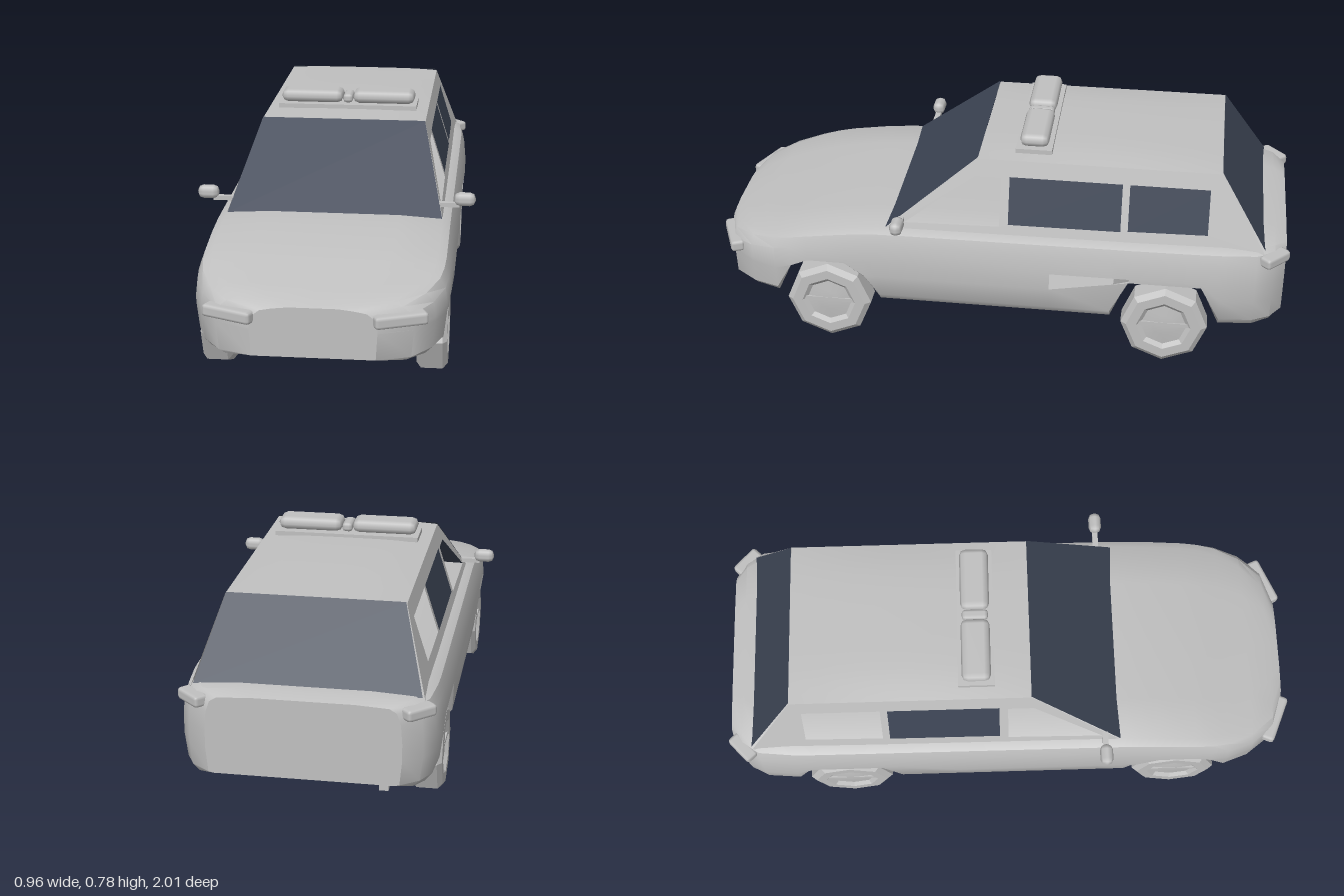
import * as THREE from 'three';
import { toCreasedNormals } from 'three/addons/utils/BufferGeometryUtils.js';
import { RoundedBoxGeometry } from 'three/addons/geometries/RoundedBoxGeometry.js';

const paint = new THREE.MeshStandardMaterial({ color: 0xc0c0c0, side: THREE.DoubleSide });
paint.name = 'grey paint';
const glass = new THREE.MeshStandardMaterial({ color: 0x3c4454, side: THREE.DoubleSide });
glass.name = 'dark glass';

function add(parent, name, geometry, material, x = 0, y = 0, z = 0) {
  const mesh = new THREE.Mesh(geometry, material);
  mesh.name = name;
  mesh.position.set(x, y, z);
  parent.add(mesh);
  return mesh;
}

function faces(points, index) {
  const g = new THREE.BufferGeometry();
  g.setAttribute('position', new THREE.Float32BufferAttribute(points.flat(), 3));
  g.setIndex(index);
  return g;
}

function polygon(points) {
  const index = [];
  for (let i = 1; i < points.length - 1; i++) index.push(0, i, i + 1);
  const g = faces(points, index);
  g.computeVertexNormals();
  return g;
}

// Lower body stations: z, half width, underside, top, width share of the top edge
const STATIONS = [
  [0.98, 0.2, 0.19, 0.355, 0.65], [0.94, 0.31, 0.18, 0.37, 0.75],
  [0.86, 0.372, 0.172, 0.388, 0.82], [0.77, 0.405, 0.17, 0.406, 0.86],
  [0.71, 0.412, 0.3, 0.42, 0.88], [0.65, 0.414, 0.327, 0.432, 0.89],
  [0.52, 0.415, 0.327, 0.452, 0.89], [0.45, 0.415, 0.27, 0.459, 0.89],
  [0.4, 0.415, 0.17, 0.463, 0.89], [0.3, 0.415, 0.17, 0.465, 0.89],
  [-0.2, 0.415, 0.17, 0.468, 0.89], [-0.41, 0.415, 0.17, 0.47, 0.89],
  [-0.475, 0.415, 0.33, 0.47, 0.89], [-0.72, 0.415, 0.33, 0.474, 0.89],
  [-0.785, 0.413, 0.17, 0.475, 0.89], [-0.9, 0.403, 0.172, 0.475, 0.88],
  [-0.96, 0.37, 0.18, 0.472, 0.87], [-1.0, 0.31, 0.195, 0.46, 0.87],
];
const VENT_ROW = 3;

function section([z, w, bottom, top, edge]) {
  const ventY = z <= -0.2 && z >= -0.48 ? 0.28 + (0.05 * (-0.2 - z)) / 0.275 : 0.28;
  const ventF = (ventY - 0.17) / (top - 0.17);
  const rows = [[0, 0.92], [0.1, 0.975], [ventF, 1], [0.58, 1], [0.8, 0.985], [0.93, (edge + 1.02) / 2], [1, edge]];
  const half = [[0, bottom, z]];
  rows.forEach(([f, p], i) => {
    const y = Math.max(0.17 + (top - 0.17) * f, bottom);
    half.push([w * p, i === 6 ? top - 0.006 : y, z]);
  });
  half.push([w * edge * 0.6, top, z], [0, top, z]);
  const mirrored = half.slice(1, -1).reverse().map(([x, y]) => [-x, y, z]);
  return [...half, ...mirrored];
}

function buildBody(car) {
  const rings = STATIONS.map(section);
  const n = rings[0].length;
  const index = [];
  for (let i = 0; i < rings.length - 1; i++) {
    const z = STATIONS[i][0];
    for (let j = 0; j < n; j++) {
      // triangular opening ahead of one rear arch
      if (j === VENT_ROW && z <= -0.2 && z > -0.47) continue;
      const k = (j + 1) % n;
      const a = i * n + j, b = i * n + k, c = (i + 1) * n + k, d = (i + 1) * n + j;
      index.push(a, d, b, b, d, c);
    }
  }
  add(car, 'lowerBody', toCreasedNormals(faces(rings.flat(), index), 0.6), paint);
  add(car, 'frontPanel', polygon(rings[0]), paint);
  add(car, 'rearPanel', polygon([...rings[rings.length - 1]].reverse()), paint);
}

// Side window outlines as z, y
const WINDOWS = [
  { name: 'frontWindow', pts: [[0.31, 0.48], [0.07, 0.65], [-0.02, 0.65], [-0.02, 0.487]], sides: [] },
  { name: 'middleWindow', pts: [[-0.05, 0.495], [-0.05, 0.655], [-0.435, 0.655], [-0.435, 0.497]], sides: [-1, 1] },
  { name: 'rearWindow', pts: [[-0.46, 0.5], [-0.46, 0.655], [-0.73, 0.655], [-0.73, 0.505]], sides: [1] },
];
const sideX = (y) => 0.37 - (y - 0.455) * 0.314;

function buildCabin(car) {
  const outline = [[0.375, 0.455], [0.06, 0.71], [-0.765, 0.71], [-0.925, 0.455]];
  const toVectors = (pts) => pts.map(([a, b]) => new THREE.Vector2(a, b));
  for (const s of [-1, 1]) {
    const shape = new THREE.Shape(toVectors(outline));
    WINDOWS.forEach((w) => shape.holes.push(new THREE.Path(toVectors(w.pts))));
    const g = new THREE.ShapeGeometry(shape);
    const p = g.attributes.position;
    for (let i = 0; i < p.count; i++) p.setXYZ(i, s * sideX(p.getY(i)), p.getY(i), p.getX(i));
    g.computeVertexNormals();
    add(car, 'cabinSide', g, paint);
    for (const w of WINDOWS) {
      if (w.sides.includes(s)) add(car, w.name, polygon(w.pts.map(([z, y]) => [s * sideX(y), y, z])), glass);
    }
  }

  // gently crowned roof
  const roof = new THREE.PlaneGeometry(2, 1, 10, 8);
  const p = roof.attributes.position;
  for (let i = 0; i < p.count; i++) {
    const u = p.getX(i), t = p.getY(i) + 0.5;
    const rise = (0.006 + 0.01 * Math.sin(Math.PI * t)) * (1 - u ** 4);
    p.setXYZ(i, u * 0.29, 0.71 + rise, 0.06 - 0.825 * t);
  }
  roof.computeVertexNormals();
  add(car, 'roof', roof, paint);

  const screen = (w0, y0, z0, w1, y1, z1) => polygon([[-w0, y0, z0], [w0, y0, z0], [w1, y1, z1], [-w1, y1, z1]]);
  add(car, 'windshield', screen(0.368, 0.457, 0.377, 0.289, 0.715, 0.061), glass);
  add(car, 'rearScreen', screen(-0.362, 0.465, -0.926, -0.287, 0.715, -0.766), glass);
}

function buildWheels(car) {
  const profile = [[0, -0.045], [0.085, -0.04], [0.095, -0.05], [0.13, -0.05], [0.15, -0.035], [0.15, 0.035],
    [0.13, 0.05], [0.095, 0.05], [0.08, 0.038], [0.04, 0.042], [0, 0.045]];
  const lathe = new THREE.LatheGeometry(profile.map(([r, y]) => new THREE.Vector2(r, y)), 8);
  const wheel = toCreasedNormals(lathe.rotateZ(-Math.PI / 2), 0.3);
  for (const s of [-1, 1]) {
    for (const z of [0.585, -0.6]) {
      const mesh = add(car, 'wheel', wheel, paint, s * 0.355, 0.152, z);
      if (s < 0) mesh.rotation.y = Math.PI;
      add(car, 'wheelMount', new THREE.BoxGeometry(0.14, 0.014, 0.26), paint, s * 0.33, 0.158, z);
    }
  }
}

function buildDetails(car) {
  const block = (w, h, d, r) => new RoundedBoxGeometry(w, h, d, 1, r);
  for (const s of [-1, 1]) {
    add(car, 'headlight', block(0.175, 0.042, 0.05, 0.012), paint, s * 0.268, 0.318, 0.95).rotation.y = s * 0.4;
    add(car, 'tailLight', block(0.11, 0.04, 0.05, 0.012), paint, s * 0.355, 0.435, -0.96).rotation.y = -s * 0.75;
    add(car, 'mirrorArm', new THREE.BoxGeometry(0.07, 0.015, 0.02), paint, s * 0.39, 0.492, 0.32);
    add(car, 'mirror', block(0.074, 0.048, 0.045, 0.02), paint, s * 0.442, 0.512, 0.32);
    add(car, 'lightBarPod', block(0.224, 0.046, 0.1, 0.022), paint, s * 0.13, 0.758, -0.125);
  }
  add(car, 'lightBarBase', new THREE.BoxGeometry(0.5, 0.016, 0.125), paint, 0, 0.727, -0.125);
  add(car, 'lightBarCentre', block(0.036, 0.032, 0.09, 0.012), paint, 0, 0.753, -0.125);
  add(car, 'exhaustPipe', new THREE.BoxGeometry(0.03, 0.018, 0.06), paint, -0.25, 0.173, -0.945);
}

export function createModel() {
  const car = new THREE.Group();
  car.name = 'car';
  buildBody(car);
  buildCabin(car);
  buildWheels(car);
  buildDetails(car);
  return car;
}
